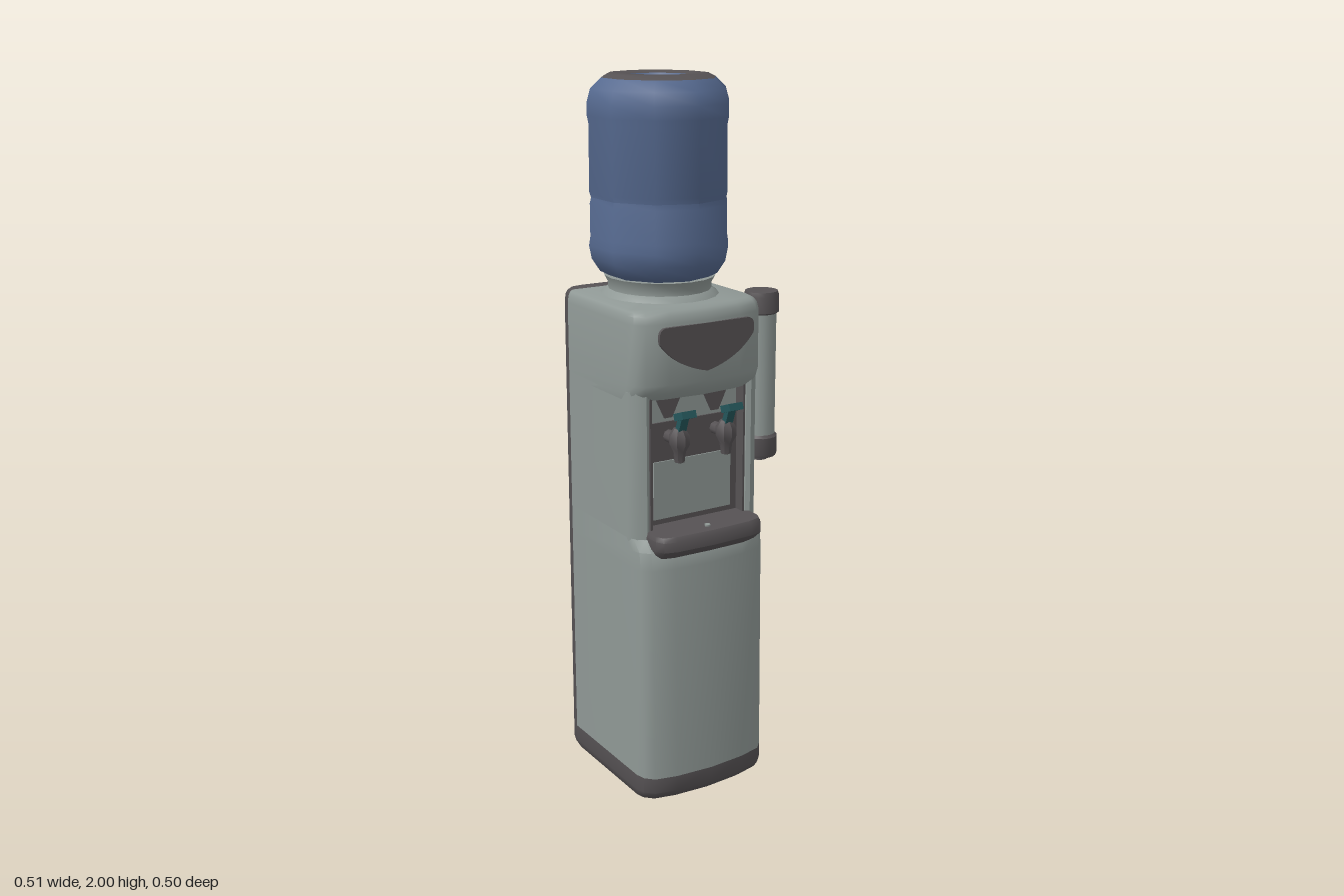
import * as THREE from 'three';
import { toCreasedNormals } from 'three/addons/utils/BufferGeometryUtils.js';

const BACK = -0.195; // seam between the light body and the dark back shell

function material(name, color, side = THREE.FrontSide) {
  const m = new THREE.MeshStandardMaterial({ color, side });
  m.name = name;
  return m;
}

// Mirror half an outline (listed back to front, x > 0) to a closed loop
function mirror(half) {
  const left = half.filter(p => p[0] > 0).reverse().map(([x, z]) => [-x, z]);
  return [...half, ...left];
}

// Shrink an outline towards the back seam
const shrink = (pts, k) => pts.map(([x, z]) => [x * k, BACK + (z - BACK) * k]);

// Skin a stack of outlines [y, points] and close both ends
function loft(rings, crease = 0.7) {
  const n = rings[0][1].length, pos = [], idx = [];
  for (const [y, pts] of rings) for (const [x, z] of pts) pos.push(x, y, z);
  for (let r = 0; r < rings.length - 1; r++) {
    for (let j = 0; j < n; j++) {
      const a = r * n + j, b = r * n + (j + 1) % n;
      idx.push(a, a + n, b, b, a + n, b + n);
    }
  }
  [0, rings.length - 1].forEach((r, top) => {
    const v = rings[r][1].map(p => new THREE.Vector2(p[0], p[1]));
    for (const [a, b, c] of THREE.ShapeUtils.triangulateShape(v, [])) {
      const area = v[b].clone().sub(v[a]).cross(v[c].clone().sub(v[a]));
      const up = area < 0;
      const o = r * n;
      if (up === Boolean(top)) idx.push(o + a, o + b, o + c);
      else idx.push(o + a, o + c, o + b);
    }
  });
  const g = new THREE.BufferGeometry();
  g.setAttribute('position', new THREE.Float32BufferAttribute(pos, 3));
  g.setIndex(idx);
  return toCreasedNormals(g, crease);
}

function lathe(points, sides, crease = 0.6) {
  const g = new THREE.LatheGeometry(points.map(p => new THREE.Vector2(p[0], p[1])), sides);
  return toCreasedNormals(g, crease);
}

export function createModel() {
  const light = material('casing grey', 0x8f9895);
  const dark = material('dark grey', 0x565254);
  const blue = material('bottle blue', 0x566a90, THREE.DoubleSide);
  const teal = material('tap teal', 0x24565a);

  const model = new THREE.Group();
  model.name = 'waterCooler';
  const main = new THREE.Group();
  main.name = 'cooler';
  main.position.x = -0.05;
  model.add(main);

  function add(name, geometry, mat, x = 0, y = 0, z = 0, parent = main) {
    const mesh = new THREE.Mesh(geometry, mat);
    mesh.name = name;
    mesh.position.set(x, y, z);
    parent.add(mesh);
    return mesh;
  }
  const box = (w, h, d) => new THREE.BoxGeometry(w, h, d);

  // Casing outlines: bowed front at depth f, and the same with a niche cut in
  const frontHalf = f => [[0.205, BACK], [0.205, f - 0.075], [0.198, f - 0.048],
    [0.175, f - 0.024], [0.11, f - 0.008], [0, f]];
  const front = f => mirror(frontHalf(f));
  const niche = mirror([[0.205, BACK], [0.205, 0.125], [0.192, 0.15],
    [0.168, 0.165], [0.157, 0.158], [0.15, 0.12]]);
  const backHalf = [[0.15, -0.245], [0.183, -0.238], [0.2, -0.222]];

  // Base, lower casing, niche section and hood
  const foot = mirror([...backHalf, ...frontHalf(0.234)]);
  add('base', loft([[0, shrink(foot, 0.94)], [0.012, shrink(foot, 0.975)],
    [0.03, foot], [0.075, foot]]), dark);
  add('lowerCasing', loft([[0.075, front(0.234)], [0.7, front(0.226)],
    [0.75, front(0.22)], [0.78, front(0.19)]]), light);
  add('nicheCasing', loft([[0.77, niche], [1.19, niche]]), light);
  const top = front(0.2);
  add('hood', loft([[1.165, front(0.172)], [1.185, front(0.19)], [1.21, top], [1.375, top],
    [1.395, shrink(top, 0.985)], [1.405, shrink(top, 0.96)], [1.41, shrink(top, 0.92)]]), light);

  // Back shell
  const back = mirror([...backHalf, [0.205, BACK]]);
  add('backShell', loft([[0.06, back], [1.375, back], [1.395, shrink(back, 0.985)],
    [1.405, shrink(back, 0.96)], [1.41, shrink(back, 0.92)]]), dark);

  // Rounded shield panel on the hood
  const shield = new THREE.Shape();
  shield.moveTo(-0.13, 1.368);
  shield.lineTo(0.13, 1.368);
  shield.quadraticCurveTo(0.155, 1.365, 0.147, 1.325);
  shield.quadraticCurveTo(0.1, 1.26, 0, 1.238);
  shield.quadraticCurveTo(-0.1, 1.26, -0.147, 1.325);
  shield.quadraticCurveTo(-0.155, 1.365, -0.13, 1.368);
  const shieldGeo = new THREE.ExtrudeGeometry(shield, { depth: 0.009, bevelEnabled: false });
  add('hoodPanel', shieldGeo, dark, 0, 0, 0.193);

  // Niche lining with light splash panel
  add('nicheLining', box(0.3, 0.3, 0.006), dark, 0, 0.94, 0.122);
  add('splashPanel', box(0.25, 0.165, 0.006), light, 0, 0.898, 0.126);
  for (const s of [-1, 1]) {
    add('nicheSideLining', box(0.006, 0.4, 0.036), dark, s * 0.15, 0.985, 0.14);
  }

  // Drip tray
  const tray = mirror([[0.17, 0.11], [0.17, 0.212], [0.157, 0.235], [0.12, 0.245], [0, 0.25]]);
  add('dripTray', loft([[0.72, shrink(tray, 0.89)], [0.738, shrink(tray, 0.95)],
    [0.76, tray], [0.788, tray], [0.8, shrink(tray, 0.98)]]), dark);
  add('trayDrain', new THREE.CylinderGeometry(0.008, 0.008, 0.006, 8), light, 0, 0.802, 0.205);

  // Two taps, each with a dark recess plate, spout and teal lever
  const wedge = new THREE.Shape();
  wedge.moveTo(-0.055, 1.19);
  wedge.lineTo(-0.012, 1.1);
  wedge.lineTo(0.012, 1.1);
  wedge.lineTo(0.055, 1.19);
  const wedgeGeo = new THREE.ExtrudeGeometry(wedge, { depth: 0.005, bevelEnabled: false });
  for (const x of [-0.075, 0.075]) {
    const tap = new THREE.Group();
    tap.name = 'tap';
    tap.position.x = x;
    main.add(tap);
    add('tapRecess', wedgeGeo, dark, 0, 0, 0.12, tap);
    const pipe = add('tapPipe', new THREE.CylinderGeometry(0.018, 0.018, 0.07, 8), dark, 0, 1.05, 0.15, tap);
    pipe.rotation.x = Math.PI / 2;
    add('tapBody', lathe([[0, 0.985], [0.014, 0.99], [0.018, 1.02], [0.029, 1.04],
      [0.029, 1.065], [0.016, 1.085], [0, 1.09]], 8), dark, 0, 0, 0.18, tap);
    const stem = add('leverStem', box(0.024, 0.06, 0.018), teal, 0, 1.095, 0.192, tap);
    stem.rotation.x = 0.35;
    const lever = add('lever', box(0.044, 0.02, 0.045), teal, 0, 1.126, 0.208, tap);
    lever.rotation.x = -0.35;
  }

  // Collar and bottle
  const bottle = new THREE.Group();
  bottle.name = 'bottle';
  bottle.position.z = -0.042;
  bottle.scale.set(0.965, 1, 1.03);
  main.add(bottle);
  add('collar', lathe([[0.172, 1.4], [0.165, 1.412], [0.145, 1.425], [0.145, 1.44],
    [0.157, 1.462], [0, 1.464]], 20), light, 0, 0, 0, bottle);
  add('bottleWall', lathe([[0, 1.452], [0.13, 1.455], [0.17, 1.475], [0.193, 1.51], [0.2, 1.545],
    [0.196, 1.57], [0.196, 1.66], [0.192, 1.675], [0.197, 1.69], [0.196, 1.87],
    [0.2, 1.89], [0.2, 1.925], [0.19, 1.96], [0.16, 1.988]], 10, 0.8), blue, 0, 0, 0, bottle);
  add('bottleRim', lathe([[0.16, 1.988], [0.14, 1.998], [0.11, 2], [0.088, 1.993]], 10, 0.8),
    dark, 0, 0, 0, bottle);
  add('bottleDimple', lathe([[0.088, 1.993], [0.07, 1.965], [0.043, 1.935]], 10, 0.8),
    blue, 0, 0, 0, bottle);
  add('dimpleFloor', lathe([[0.043, 1.935], [0.018, 1.93], [0, 1.93]], 10), dark, 0, 0, 0, bottle);

  // Cup dispenser on the left side
  const cups = new THREE.Group();
  cups.name = 'cupDispenser';
  cups.position.set(0.205, 0, 0.084);
  model.add(cups);
  add('cupTube', new THREE.CylinderGeometry(0.043, 0.043, 0.38, 16), light, 0, 1.175, 0, cups);
  add('topCap', lathe([[0.043, 1.345], [0.05, 1.35], [0.05, 1.395], [0.046, 1.408], [0, 1.41]], 16),
    dark, 0, 0, 0, cups);
  add('bottomCap', lathe([[0, 0.92], [0.022, 0.92], [0.022, 0.93], [0.046, 0.932], [0.05, 0.942],
    [0.05, 0.99], [0.043, 0.998]], 16), dark, 0, 0, 0, cups);
  add('cupBracket', box(0.03, 0.3, 0.03), light, -0.047, 1.175, 0, cups);

  return model;
}
